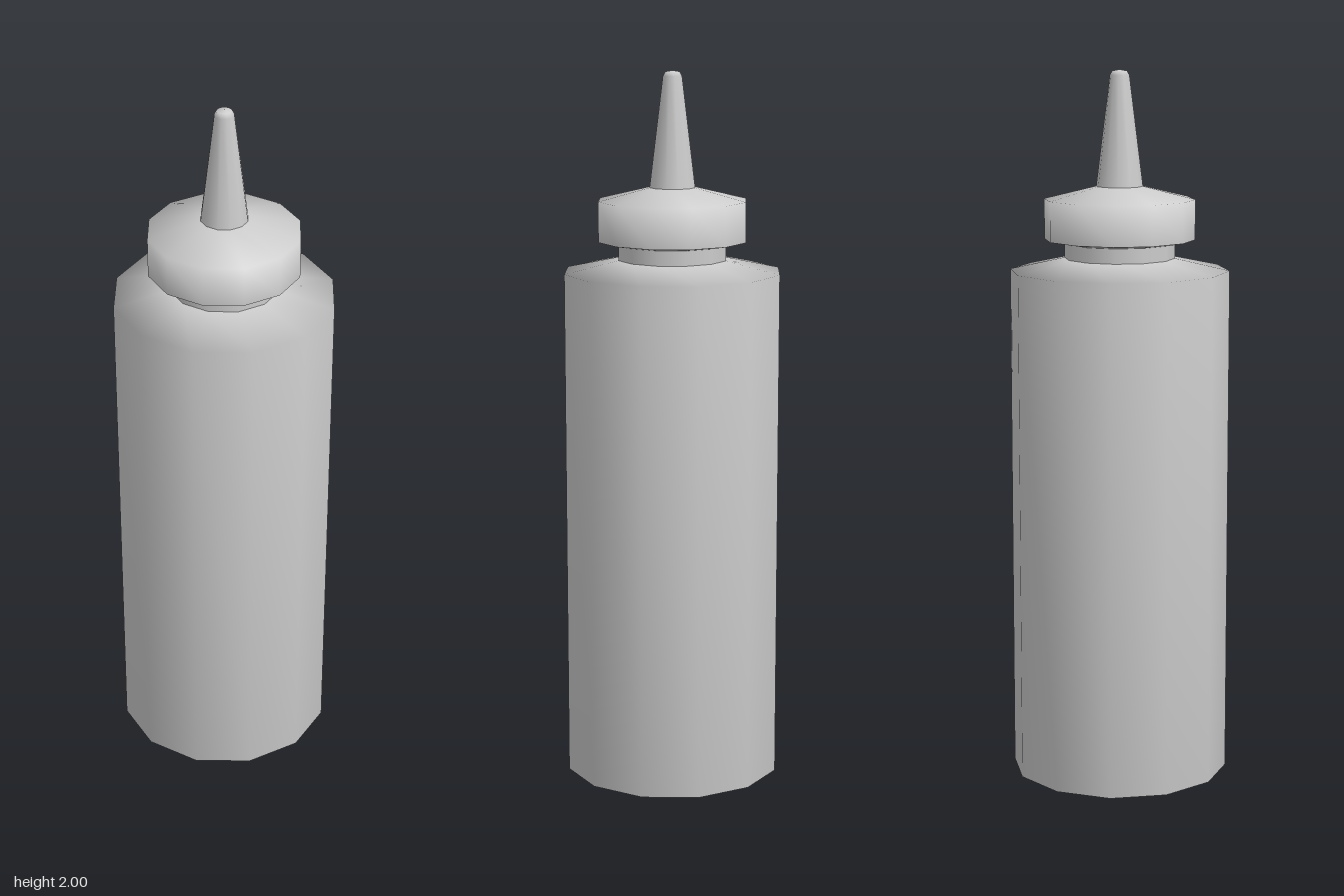
import * as THREE from 'three';

const SIDES = 12;

// Smooth twelve-sided turned part from [radius, height] pairs, bottom to top
function turned(name, profile, material) {
  const points = profile.map(([r, y]) => new THREE.Vector2(r, y));
  const mesh = new THREE.Mesh(new THREE.LatheGeometry(points, SIDES), material);
  mesh.name = name;
  return mesh;
}

export function createModel() {
  const material = new THREE.MeshStandardMaterial({ color: 0xcccccc });
  const bottle = new THREE.Group();
  bottle.name = 'squeezeBottle';

  bottle.add(
    // Body with shallow bevelled base and sloping shoulder
    turned('body', [[0, 0], [0.17, 0], [0.305, 0.022], [0.305, 1.452], [0.15, 1.486]], material),
    // Short neck between shoulder and cap
    turned('neck', [[0.153, 1.482], [0.153, 1.535]], material),
    // Underside of the cap, kept apart for a crisp lower edge
    turned('capUnderside', [[0, 1.527], [0.153, 1.527], [0.209, 1.537]], material),
    // Cap rim and its sloping top
    turned('cap', [[0.209, 1.537], [0.209, 1.648], [0.062, 1.684]], material),
    // Tapered nozzle with a small rounded tip
    turned('nozzle', [[0.065, 1.68], [0.027, 1.985], [0.02, 1.997], [0, 2]], material),
  );
  return bottle;
}
